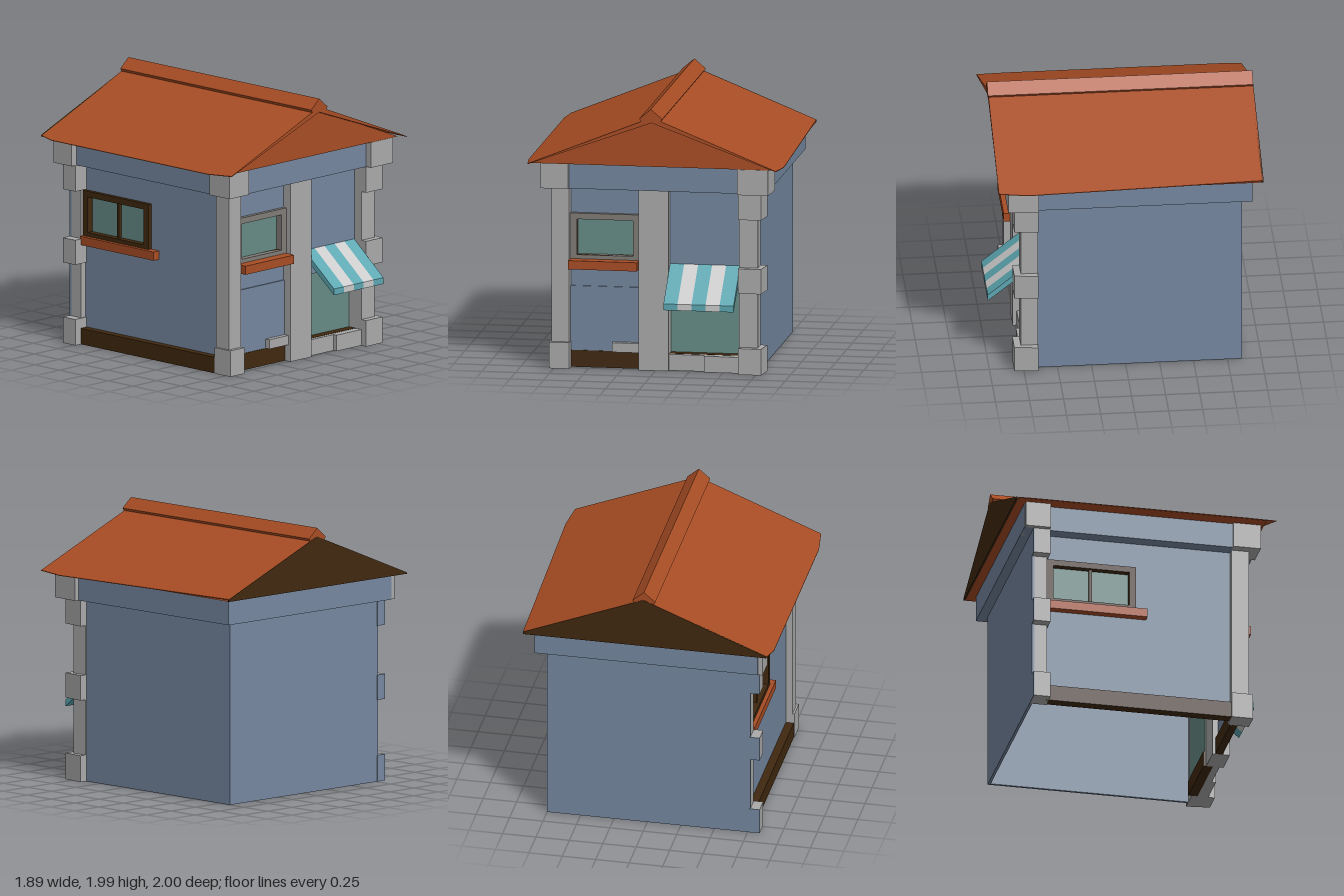
import * as THREE from 'three';

const mat = (color) => new THREE.MeshStandardMaterial({ color, flatShading: true });
const stone = mat(0xaaaaaa), blue = mat(0x75879f), orange = mat(0xa84d24), brown = mat(0x40280f);
const glass = mat(0x668b86), teal = mat(0x5da7b2), white = mat(0xffffff), trim = mat(0x807c77);

function add(parent, name, geometry, material) {
  const m = new THREE.Mesh(geometry, material);
  m.name = name;
  parent.add(m);
  return m;
}

// Box given by its limits on each axis
function box(parent, name, material, x0, x1, y0, y1, z0, z1) {
  const m = add(parent, name, new THREE.BoxGeometry(x1 - x0, y1 - y0, z1 - z0), material);
  m.position.set((x0 + x1) / 2, (y0 + y1) / 2, (z0 + z1) / 2);
}

const poly = (pts) => new THREE.Shape(pts.map(([x, y]) => new THREE.Vector2(x, y)));
const rect = (x0, x1, y0, y1) => poly([[x0, y0], [x1, y0], [x1, y1], [x0, y1]]);

// Flat outline extruded from z0 to z1, with optional rectangular holes
function slab(parent, name, material, shape, z0, z1, holes = []) {
  shape.holes = holes.map((h) => rect(...h));
  const g = new THREE.ExtrudeGeometry(shape, { depth: z1 - z0, bevelEnabled: false });
  g.translate(0, 0, z0);
  return add(parent, name, g, material);
}

// Stone block from a plan outline in (x, z)
function block(parent, name, plan, y0, y1) {
  const m = slab(parent, name, stone, poly(plan), 0, y1 - y0);
  m.geometry.rotateX(Math.PI / 2).translate(0, y1, 0);
}

// Framed, recessed window facing +z, in a wall whose face lies at z
function windowUnit(parent, name, x0, x1, z, panes, frameMat) {
  const w = new THREE.Group();
  w.name = name;
  parent.add(w);
  const e = 0.05, a = x0 + e, b = x1 - e, t = 0.012;
  slab(w, 'windowFrame', frameMat, rect(x0, x1, 0.81, 1.15), z - 0.02, z + 0.03, [[a, b, 0.84, 1.105]]);
  slab(w, 'windowReveal', brown, rect(a - 0.004, b + 0.004, 0.836, 1.109), z - 0.04, z + 0.027, [[a, b, 0.84, 1.105]]);
  box(w, 'windowGlass', glass, a, b, 0.84, 1.105, z - 0.035, z - 0.02);
  for (let i = 1; i < panes; i++) {
    const x = a + ((b - a) * i) / panes;
    box(w, 'windowMullion', brown, x - t, x + t, 0.84, 1.105, z - 0.02, z + 0.005);
  }
}

// Corner blocks at the foot, middle and top of a pillar
const QUOINS = [[0, 0.195], [0.605, 0.79], [1.155, 1.35]];

function buildWalls(g) {
  box(g, 'rightWall', blue, 0.73, 0.75, 0, 1.35, -0.85, 0.645);
  box(g, 'backWall', blue, -0.77, 0.75, 0, 1.35, -0.855, -0.835);

  // Front facade
  slab(g, 'frontWallLeft', blue, rect(-0.64, -0.12, 0.6, 1.35), 0.68, 0.7, [[-0.6, -0.17, 0.83, 1.12]]);
  box(g, 'frontPanel', blue, -0.64, -0.12, 0.12, 0.605, 0.68, 0.71);
  box(g, 'frontPlinth', brown, -0.64, -0.12, 0, 0.125, 0.66, 0.715);
  box(g, 'doorStep', stone, -0.325, -0.125, 0.125, 0.195, 0.69, 0.75);
  box(g, 'frontWallRight', blue, 0.09, 0.63, 0.6, 1.35, 0.68, 0.7);
  windowUnit(g, 'frontWindow', -0.64, -0.125, 0.7, 1, trim);
  box(g, 'frontSill', orange, -0.64, -0.13, 0.745, 0.81, 0.69, 0.815);

  // Shop window
  box(g, 'shopGlass', glass, 0.095, 0.62, 0.12, 0.62, 0.63, 0.645);
  box(g, 'shopLedge', brown, 0.095, 0.62, 0, 0.122, 0.62, 0.71);
  box(g, 'shopBaseLeft', stone, 0.095, 0.36, 0, 0.12, 0.69, 0.74);
  box(g, 'shopBaseRight', stone, 0.36, 0.62, 0, 0.12, 0.69, 0.77);

  // Left facade, made facing +z and turned to face -x
  const side = new THREE.Group();
  side.name = 'leftFacade';
  side.rotation.y = -Math.PI / 2;
  g.add(side);
  slab(side, 'leftWall', blue, rect(-0.75, 0.645, 0.1, 1.35), 0.7, 0.72, [[-0.7, -0.11, 0.83, 1.12]]);
  box(side, 'leftPlinth', brown, -0.75, 0.645, 0, 0.12, 0.7, 0.78);
  windowUnit(side, 'leftWindow', -0.74, -0.07, 0.72, 2, brown);
  box(side, 'leftSill', orange, -0.74, 0.01, 0.745, 0.81, 0.71, 0.78);
}

function buildPillars(g) {
  box(g, 'middlePillar', stone, -0.125, 0.095, 0, 1.35, 0.64, 0.77);
  box(g, 'frontLeftPillar', stone, -0.77, -0.64, 0, 1.35, 0.64, 0.77);
  box(g, 'frontLeftBase', stone, -0.785, -0.635, 0, 0.195, 0.64, 0.8);
  box(g, 'frontRightPillar', stone, 0.62, 0.76, 0, 1.35, 0.645, 0.77);
  box(g, 'backLeftPillar', stone, -0.77, -0.69, 0, 1.35, -0.835, -0.74);
  for (const [y0, y1] of QUOINS) {
    block(g, 'frontRightQuoin', [[0.62, 0.645], [0.81, 0.645], [0.79, 0.82], [0.62, 0.82]], y0, y1);
    box(g, 'backLeftQuoin', stone, -0.84, -0.69, y0, y1, -0.85, -0.73);
    box(g, 'backLeftQuoinBack', blue, -0.84, -0.76, y0, y1, -0.856, -0.849);
  }
}

function buildCornice(g) {
  const y0 = 1.35, y1 = 1.54;
  box(g, 'frontCornice', blue, -0.64, 0.62, y0, y1, 0.64, 0.82);
  box(g, 'rightCornice', blue, 0.73, 0.83, y0, y1, -0.925, 0.645);
  box(g, 'backCornice', blue, -0.84, 0.83, y0, y1, -0.925, -0.83);
  box(g, 'leftCornice', blue, -0.82, -0.69, y0, y1, -0.84, 0.64);
  // Corner caps
  box(g, 'frontLeftCap', stone, -0.84, -0.635, y0, y1, 0.64, 0.845);
  block(g, 'frontRightCap', [[0.62, 0.645], [0.865, 0.645], [0.85, 0.87], [0.62, 0.87]], y0, y1);
  box(g, 'backLeftCap', stone, -0.875, -0.69, y0, y1, -0.92, -0.735);
}

function buildAwning(g) {
  const awning = new THREE.Group();
  awning.name = 'awning';
  g.add(awning);
  const w = 0.52 / 5;
  for (let i = 0; i < 5; i++) {
    // Profile in (z, y), swept along x
    const m = slab(awning, 'awningStripe', i % 2 ? white : teal,
      poly([[0.68, 0.755], [1, 0.5], [1, 0.547], [0.7, 0.79], [0.68, 0.79]]), 0, w);
    m.geometry.rotateY(-Math.PI / 2).translate(0.097 + w * (i + 1), 0, 0);
  }
}

function buildRoof(g) {
  const roof = new THREE.Group();
  roof.name = 'roof';
  g.add(roof);
  const top = (x) => 1.922 - 0.404 * Math.abs(x);
  // Plan outlines of the two slopes, lifted to the pitch and thinned to the eaves
  const plans = {
    rightSlope: [[0, -1], [0.9, -1], [0.945, 0.73], [0.92, 0.945], [0, 0.945]],
    leftSlope: [[0, 0.945], [-0.92, 0.945], [-0.95, 0.73], [-0.95, -0.87], [-0.92, -1], [0, -1]],
  };
  for (const [name, pts] of Object.entries(plans)) {
    const m = slab(roof, name, orange, poly(pts), 0, 1);
    m.geometry.rotateX(Math.PI / 2);
    const p = m.geometry.attributes.position;
    for (let i = 0; i < p.count; i++) {
      const x = p.getX(i), under = p.getY(i) < -0.5;
      p.setY(i, top(x) - (under ? 0.04 * (1 - Math.abs(x) / 1.05) : 0));
    }
    m.geometry.computeVertexNormals();
  }
  // Filled gable, set back at the front and faced with boards at the back
  slab(roof, 'gable', orange, poly([[-0.925, 1.541], [0.9, 1.541], [0, 1.9]]), -0.99, 0.87);
  slab(roof, 'backGable', brown, poly([[-0.92, 1.54], [0.9, 1.54], [0.9, top(0.9)], [0, 1.922], [-0.92, top(0.92)]]), -1.002, -0.988);
  slab(roof, 'ridgeCap', orange,
    poly([[-0.09, 1.913], [-0.075, 1.89], [0.065, 1.89], [0.08, 1.913], [-0.005, 1.985]]), -1, 0.95);
}

export function createModel() {
  const g = new THREE.Group();
  g.name = 'cornerShop';
  buildWalls(g);
  buildPillars(g);
  buildCornice(g);
  buildAwning(g);
  buildRoof(g);
  return g;
}
